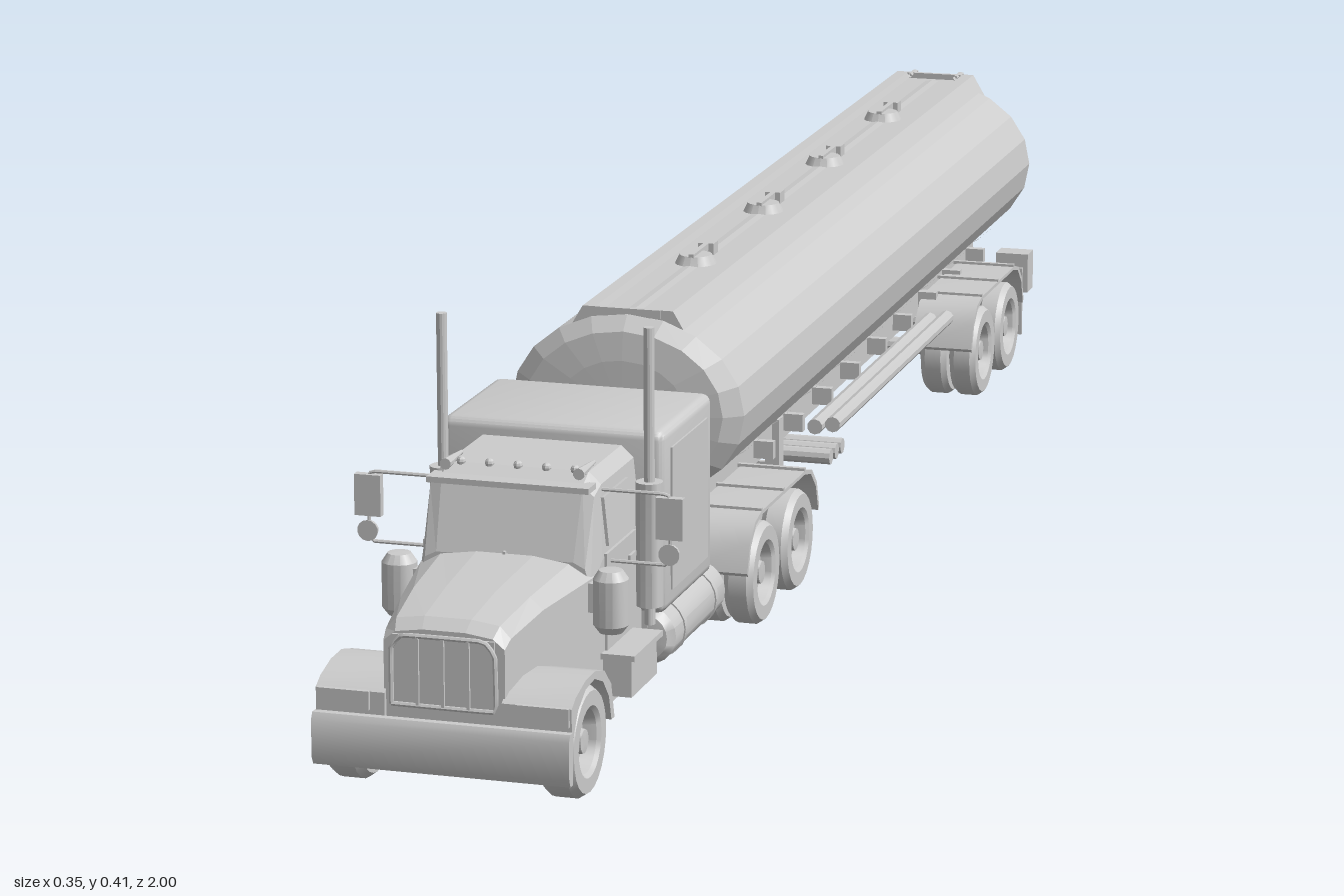
import * as THREE from 'three';
import { toCreasedNormals } from 'three/addons/utils/BufferGeometryUtils.js';
import { RoundedBoxGeometry } from 'three/addons/geometries/RoundedBoxGeometry.js';

const grey = new THREE.MeshStandardMaterial({ color: 0xcccccc, side: THREE.DoubleSide });
const facet = new THREE.MeshStandardMaterial({ color: 0xcccccc, side: THREE.DoubleSide, flatShading: true });
const SIDES = [1, -1];
const V = (x, y, z) => new THREE.Vector3(x, y, z);

function add(parent, name, geo, x = 0, y = 0, z = 0, mat = grey) {
  const mesh = new THREE.Mesh(mat === grey ? toCreasedNormals(geo, 0.55) : geo, mat);
  mesh.name = name;
  mesh.position.set(x, y, z);
  parent.add(mesh);
  return mesh;
}
// Box given by its limits on each axis
const box = (p, name, x0, x1, y0, y1, z0, z1) => add(p, name,
  new THREE.BoxGeometry(Math.abs(x1 - x0), y1 - y0, Math.abs(z1 - z0)), (x0 + x1) / 2, (y0 + y1) / 2, (z0 + z1) / 2);
const pole = (p, name, r, y0, y1, x, z, n = 14) =>
  add(p, name, new THREE.CylinderGeometry(r, r, y1 - y0, n), x, (y0 + y1) / 2, z);
const tube = (p, name, pts, r = 0.003) => add(p, name,
  new THREE.TubeGeometry(new THREE.CatmullRomCurve3(pts.map(a => V(...a)), false, 'catmullrom', 0.05), pts.length * 6, r, 6));

// Side profile of [z, y] points, extruded across from x0 to x1
function sideExtrude(p, name, pts, x0, x1) {
  const shape = new THREE.Shape(pts.map(a => new THREE.Vector2(...a)));
  const geo = new THREE.ExtrudeGeometry(shape, { depth: Math.abs(x1 - x0), bevelEnabled: false });
  geo.rotateY(-Math.PI / 2);
  return add(p, name, geo, Math.max(x0, x1));
}
// Body skinned over mirrored half sections [z, [x, y], ...] from back to front
function loft(p, name, sections) {
  const pos = [], idx = [];
  const n = (sections[0].length - 1) * 2, last = (sections.length - 1) * n;
  for (const [z, ...half] of sections) {
    const loop = [...half, ...half.map(([x, y]) => [-x, y]).reverse()];
    loop.forEach(([x, y]) => pos.push(x, y, z));
  }
  for (let i = 0; i < last; i += n) for (let j = 0; j < n; j++) {
    const k = (j + 1) % n;
    idx.push(i + j, i + k, i + n + j, i + k, i + n + k, i + n + j);
  }
  for (let j = 1; j < n - 1; j++) idx.push(0, j + 1, j, last, last + j, last + j + 1);
  const geo = new THREE.BufferGeometry();
  geo.setAttribute('position', new THREE.Float32BufferAttribute(pos, 3));
  geo.setIndex(idx);
  return add(p, name, geo, 0, 0, 0, facet);
}

// Tyre and dished rim; the dish faces the outside
function wheel(p, x, z, s, width, R = 0.056) {
  const h = width / 2;
  const prof = [[0, -h], [0.034, -h], [0.05, -h], [R, -h * 0.6], [R, h * 0.6], [0.051, h], [0.036, h],
    [0.032, h * 0.8], [0.029, h * 0.1], [0.014, h * 0.1], [0.012, h * 0.7], [0, h * 0.75]];
  const geo = new THREE.LatheGeometry(prof.map(a => new THREE.Vector2(...a)), 24);
  geo.rotateZ(-s * Math.PI / 2);
  add(p, 'wheel', geo, x, R, z);
}
// Pair of dual-wheel axles with mudguards, hubs and springs
function bogie(p, zs) {
  const zc = (zs[0] + zs[1]) / 2;
  const outer = [[0.142, 0.075], [0.132, 0.105], [0.112, 0.124], [0.088, 0.13]];
  const inner = outer.map(([a, b]) => [a - 0.004, b - 0.004]);
  const full = [...outer, ...outer.map(([a, b]) => [-a, b]).reverse(),
    ...inner.map(([a, b]) => [-a, b]), ...inner.reverse()].map(([a, b]) => [a + zc, b]);
  for (const s of SIDES) {
    for (const z of zs) {
      wheel(p, s * 0.113, z, s, 0.033);
      wheel(p, s * 0.076, z, s, 0.033);
    }
    sideExtrude(p, 'mudguard', full, s * 0.056, s * 0.13);
    for (const d of [-0.085, 0, 0.085]) box(p, 'mudguardRib', s * 0.03, s * 0.13, 0.129, 0.133, zc + d - 0.003, zc + d + 0.003);
    box(p, 'spring', s * 0.036, s * 0.05, 0.062, 0.075, zs[0] + 0.03, zs[1] - 0.03);
    box(p, 'springHanger', s * 0.034, s * 0.052, 0.06, 0.12, zc - 0.012, zc + 0.012);
  }
  for (const z of zs) add(p, 'axle', new THREE.CylinderGeometry(0.01, 0.01, 0.2, 10).rotateZ(Math.PI / 2), 0, 0.056, z);
}

function buildTractor() {
  const t = new THREE.Group();
  t.name = 'tractor';
  // Hood, cab and sleeper
  loft(t, 'hood', [
    [0.79, [0.092, 0.06], [0.092, 0.183], [0.068, 0.197], [0.03, 0.202]],
    [0.9, [0.074, 0.06], [0.074, 0.178], [0.06, 0.19], [0.026, 0.194]],
    [0.97, [0.064, 0.06], [0.064, 0.168], [0.053, 0.18], [0.024, 0.184]],
    [0.983, [0.062, 0.06], [0.062, 0.16], [0.05, 0.17], [0.022, 0.174]]]);
  loft(t, 'cab', [
    [0.645, [0.094, 0.06], [0.094, 0.2], [0.087, 0.268], [0.074, 0.28]],
    [0.755, [0.094, 0.06], [0.094, 0.2], [0.087, 0.268], [0.074, 0.28]],
    [0.775, [0.094, 0.06], [0.094, 0.195], [0.086, 0.26], [0.074, 0.27]],
    [0.8, [0.09, 0.06], [0.09, 0.17], [0.084, 0.192], [0.072, 0.198]]]);
  add(t, 'sleeper', new RoundedBoxGeometry(0.238, 0.193, 0.172, 2, 0.01), 0, 0.2, 0.562);
  box(t, 'roofVisor', -0.085, 0.085, 0.266, 0.272, 0.765, 0.79);
  box(t, 'windshieldDivider', -0.0015, 0.0015, 0.198, 0.204, 0.79, 0.802);
  for (let i = -2; i <= 2; i++) add(t, 'roofLight', new THREE.SphereGeometry(0.005, 8, 6), i * 0.03, 0.281, 0.755);
  // Grille
  box(t, 'grille', -0.052, 0.052, 0.098, 0.168, 0.975, 0.986);
  tube(t, 'grilleFrame', [[-0.053, 0.098, 0.987], [-0.053, 0.155, 0.987], [-0.042, 0.168, 0.987],
    [0.042, 0.168, 0.987], [0.053, 0.155, 0.987], [0.053, 0.098, 0.987], [-0.053, 0.098, 0.987]], 0.0025);
  for (const x of [-0.026, 0, 0.026]) box(t, 'grilleBar', x - 0.0015, x + 0.0015, 0.098, 0.167, 0.985, 0.989);
  // Bumper, chassis and underside
  sideExtrude(t, 'frontBumper', [[0.988, 0.032], [0.996, 0.032], [1, 0.04], [1, 0.078], [0.996, 0.085], [0.988, 0.085]], -0.132, 0.132);
  box(t, 'undersidePlate', -0.1, 0.1, 0.045, 0.06, 0.65, 0.86);
  box(t, 'rearDeck', -0.095, 0.095, 0.112, 0.122, 0.415, 0.49);
  box(t, 'fifthWheelPlate', -0.05, 0.05, 0.11, 0.12, 0.2, 0.3);
  box(t, 'frontAxle', -0.1, 0.1, 0.048, 0.062, 0.915, 0.935);
  for (const z of [0.12, 0.24, 0.37, 0.6]) box(t, 'crossMember', -0.035, 0.035, 0.08, 0.1, z - 0.008, z + 0.008);
  for (const s of SIDES) {
    box(t, 'frameRail', s * 0.028, s * 0.038, 0.075, 0.108, 0.1, 0.975);
    // Front wheel and its wing
    wheel(t, s * 0.11, 0.925, s, 0.038);
    const arch = [[0.988, 0.085], [0.988, 0.108], [0.975, 0.116], [0.945, 0.124], [0.915, 0.125], [0.885, 0.117], [0.863, 0.097], [0.853, 0.06]];
    const wheelCut = [0.15, 0.3, 0.45, 0.6, 0.75, 0.9].map(u =>
      [0.925 - 0.061 * Math.cos(Math.PI * u), 0.06 + 0.058 * Math.sin(Math.PI * u)]);
    sideExtrude(t, 'frontWing', [...arch, [0.863, 0.06], ...wheelCut], s * 0.06, s * 0.131);
    box(t, 'headlight', s * 0.075, s * 0.129, 0.09, 0.109, 0.982, 0.992);
    // Doors, windows and steps
    box(t, 'door', s * 0.09, s * 0.097, 0.09, 0.2, 0.672, 0.768);
    const win = box(t, 'sideWindow', s * 0.089, s * 0.094, 0.206, 0.256, 0.68, 0.76);
    win.rotation.z = s * 0.1;
    box(t, 'doorHandle', s * 0.096, s * 0.1, 0.175, 0.18, 0.68, 0.7);
    box(t, 'cabStep', s * 0.085, s * 0.124, 0.055, 0.098, 0.69, 0.775);
    box(t, 'stepTread', s * 0.085, s * 0.129, 0.094, 0.1, 0.685, 0.78);
    box(t, 'sleeperPanel', s * 0.115, s * 0.121, 0.125, 0.275, 0.5, 0.625);
    box(t, 'sleeperSkirt', s * 0.04, s * 0.1, 0.07, 0.11, 0.48, 0.645);
    // Fuel tank with rounded ends and straps
    const fuel = [[0, -0.1], [0.024, -0.097], [0.031, -0.088], [0.031, 0.088], [0.024, 0.097], [0, 0.1]];
    add(t, 'fuelTank', new THREE.LatheGeometry(fuel.map(a => new THREE.Vector2(...a)), 20).rotateX(Math.PI / 2), s * 0.096, 0.077, 0.545);
    for (const z of [0.49, 0.6]) add(t, 'fuelTankStrap', new THREE.CylinderGeometry(0.0325, 0.0325, 0.008, 20).rotateX(Math.PI / 2), s * 0.096, 0.077, z);
    // Exhaust stack and air cleaner
    pole(t, 'exhaustPipe', 0.0055, 0.1, 0.41, s * 0.11, 0.668);
    pole(t, 'muffler', 0.014, 0.12, 0.25, s * 0.11, 0.668);
    const cleaner = [[0, 0.13], [0.012, 0.13], [0.018, 0.138], [0.018, 0.185], [0.012, 0.194], [0, 0.195]];
    add(t, 'airCleaner', new THREE.LatheGeometry(cleaner.map(a => new THREE.Vector2(...a)), 16), s * 0.111, 0, 0.8);
    box(t, 'airCleanerMount', s * 0.08, s * 0.1, 0.15, 0.18, 0.793, 0.807);
    // Mirrors and horn
    tube(t, 'mirrorArm', [[s * 0.088, 0.263, 0.755], [s * 0.155, 0.263, 0.755], [s * 0.159, 0.258, 0.755],
      [s * 0.159, 0.195, 0.755], [s * 0.154, 0.19, 0.755], [s * 0.09, 0.19, 0.755]], 0.002);
    box(t, 'mirror', s * 0.145, s * 0.173, 0.217, 0.26, 0.751, 0.76);
    add(t, 'roundMirror', new THREE.CylinderGeometry(0.011, 0.009, 0.008, 14).rotateX(Math.PI / 2), s * 0.159, 0.202, 0.757);
    add(t, 'horn', new THREE.CylinderGeometry(0.006, 0.002, 0.05, 10).rotateX(Math.PI / 2), s * 0.07, 0.282, 0.75);
  }
  bogie(t, [0.176, 0.31]);
  return t;
}

function buildTrailer() {
  const t = new THREE.Group();
  t.name = 'tankTrailer';
  // Faceted elliptical tank with shallow domed ends
  const prof = [[0, -0.982], [0.55, -0.979], [0.85, -0.971], [1, -0.953], [1, 0.377], [0.85, 0.392], [0.55, 0.397], [0, 0.399]];
  const tank = new THREE.LatheGeometry(prof.map(a => new THREE.Vector2(...a)), 20);
  tank.rotateX(Math.PI / 2).scale(0.129, 0.102, 1);
  add(t, 'tank', tank, 0, 0.246, 0, facet);
  for (let i = 0; i < 9; i++) {
    const band = new THREE.CylinderGeometry(1, 1, 0.008, 10, 1, true, -0.95, 1.9);
    add(t, 'tankBand', band.rotateX(Math.PI / 2).scale(0.132, 0.105, 1), 0, 0.246, 0.24 - i * 0.135);
  }
  // Walkway with a shallow trough and hatches
  const half = [[0.067, 0.325], [0.05, 0.354], [0.036, 0.354], [0.033, 0.347]];
  const walk = new THREE.Shape([...half, ...half.map(([x, y]) => [-x, y]).reverse()].map(a => new THREE.Vector2(...a)));
  add(t, 'walkway', new THREE.ExtrudeGeometry(walk, { depth: 1.345, bevelEnabled: false }), 0, 0, -0.97);
  for (const z of [-0.97, 0.37]) box(t, 'walkwayEnd', -0.036, 0.036, 0.345, 0.354, z, z + 0.006);
  for (const z of [-0.7, -0.425, -0.155, 0.12]) {
    add(t, 'hatch', new THREE.CylinderGeometry(0.018, 0.023, 0.01, 16), 0, 0.352, z);
    box(t, 'hatchVent', -0.009, 0.009, 0.346, 0.36, z - 0.058, z - 0.04);
    box(t, 'hatchLatch', -0.003, 0.003, 0.352, 0.36, z - 0.04, z + 0.018);
  }
  // Chassis
  box(t, 'kingpinPlate', -0.06, 0.06, 0.122, 0.15, 0.1, 0.38);
  for (const s of SIDES) box(t, 'frameRail', s * 0.04, s * 0.052, 0.106, 0.165, -0.97, 0.1);
  for (let i = 0; i < 9; i++) box(t, 'crossMember', -0.075, 0.075, 0.115, 0.135, 0.06 - i * 0.125, 0.07 - i * 0.125);
  add(t, 'supportCone', new THREE.ConeGeometry(0.016, 0.08, 8).rotateX(Math.PI), 0, 0.067, 0.03);
  // Landing legs
  for (const s of SIDES) {
    box(t, 'landingLeg', s * 0.044, s * 0.06, 0.05, 0.14, -0.028, -0.008);
    box(t, 'landingLegShaft', s * 0.047, s * 0.057, 0.01, 0.06, -0.024, -0.012);
    box(t, 'landingFoot', s * 0.036, s * 0.068, 0.006, 0.012, -0.033, -0.003);
  }
  box(t, 'landingBrace', -0.05, 0.05, 0.08, 0.088, -0.021, -0.015);
  box(t, 'valveBox', -0.115, -0.05, 0.04, 0.1, -0.1, -0.06);
  // Open wire cages on the right side
  for (const [z0, z1, y0] of [[-0.28, -0.17, 0.056], [-0.44, -0.375, 0.042], [-0.525, -0.46, 0.042]]) {
    box(t, 'cageFloor', -0.12, -0.045, y0, y0 + 0.004, z0, z1);
    for (const x of [-0.12, -0.045]) {
      for (const z of [z0, (z0 + z1) / 2, z1]) box(t, 'cagePost', x - 0.002, x + 0.002, y0, 0.11, z - 0.002, z + 0.002);
      box(t, 'cageRail', x - 0.002, x + 0.002, 0.094, 0.098, z0, z1);
    }
    for (const z of [z0, z1]) box(t, 'cageEndRail', -0.12, -0.045, 0.094, 0.098, z - 0.002, z + 0.002);
  }
  // Discharge pipe, and hose tubes along the left side
  add(t, 'dischargePipe', new THREE.CylinderGeometry(0.009, 0.009, 0.5, 10).rotateX(Math.PI / 2), 0, 0.08, -0.32);
  for (const [x, y] of [[0.085, 0.118], [0.106, 0.122]])
    add(t, 'hoseTube', new THREE.CylinderGeometry(0.009, 0.009, 0.54, 10).rotateX(Math.PI / 2), x, y, -0.34);
  for (const z of [-0.06, -0.085, -0.11]) {
    add(t, 'outletValve', new THREE.CylinderGeometry(0.009, 0.009, 0.07, 10).rotateZ(Math.PI / 2), 0.075, 0.09, z + 0.01);
  }
  bogie(t, [-0.85, -0.717]);
  // Rear bumper, lights, flaps and ladder
  box(t, 'rearBumper', -0.125, 0.125, 0.08, 0.102, -0.985, -0.965);
  for (const s of SIDES) {
    box(t, 'lightBox', s * 0.085, s * 0.127, 0.075, 0.125, -0.99, -0.96);
    box(t, 'bumperPost', s * 0.04, s * 0.052, 0.08, 0.15, -0.97, -0.95);
    box(t, 'mudflap', s * 0.058, s * 0.128, 0.028, 0.115, -0.928, -0.924);
    tube(t, 'ladderRail', [[s * 0.03, 0.352, -0.955], [s * 0.03, 0.352, -0.988], [s * 0.03, 0.34, -0.997],
      [s * 0.03, 0.15, -0.997], [s * 0.03, 0.14, -0.97]], 0.003);
  }
  for (let i = 0; i < 7; i++) box(t, 'ladderRung', -0.03, 0.03, 0.16 + i * 0.028, 0.165 + i * 0.028, -0.999, -0.994);
  // Slightly angled behind the tractor
  t.position.x = -0.008;
  t.rotation.y = 0.008;
  return t;
}

export function createModel() {
  const truck = new THREE.Group();
  truck.name = 'tankerTruck';
  truck.add(buildTractor(), buildTrailer());
  return truck;
}
